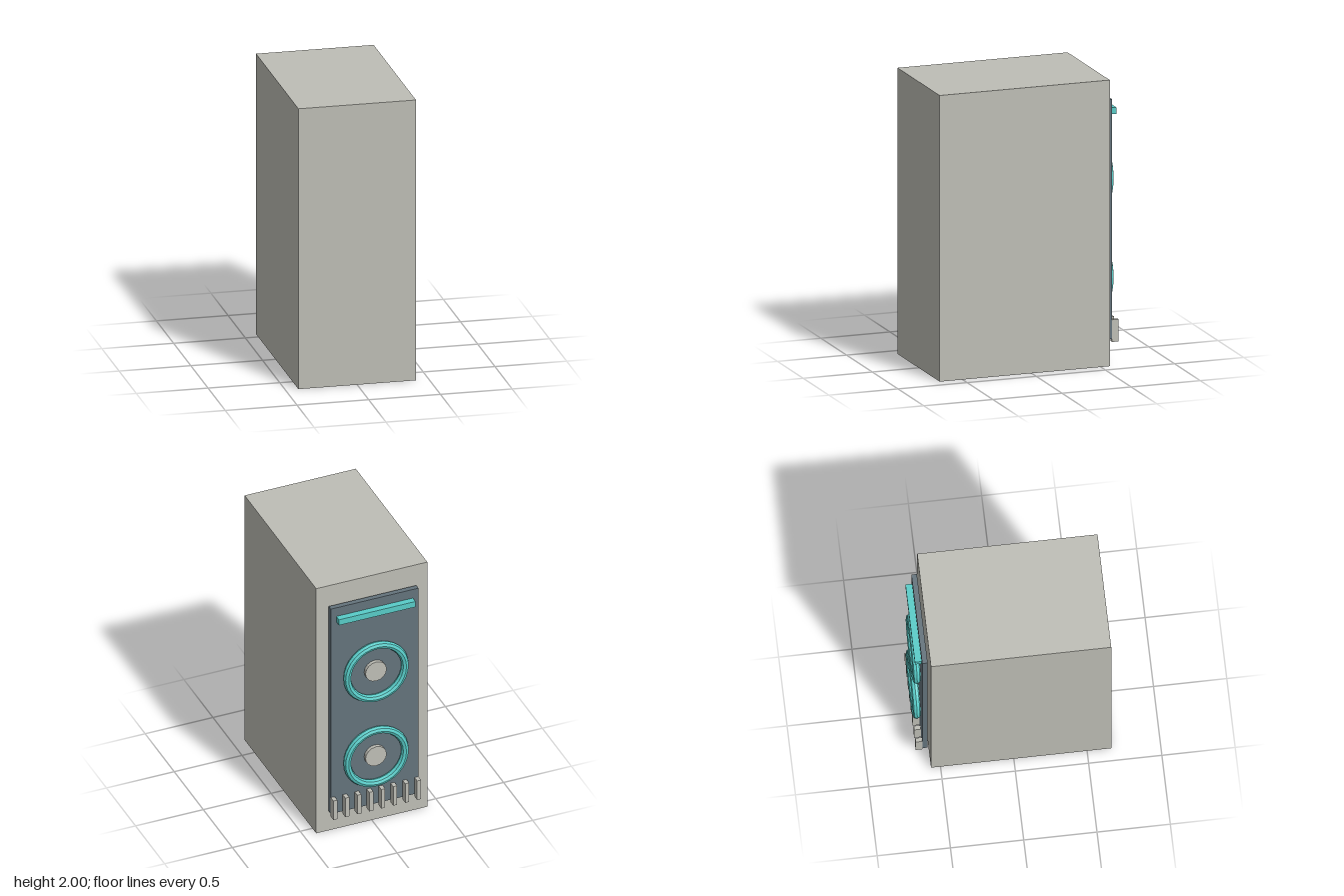
import * as THREE from 'three';

function material(name, color) {
  const m = new THREE.MeshStandardMaterial({ color, flatShading: true });
  m.name = name;
  return m;
}

export function createModel() {
  const model = new THREE.Group();
  model.name = 'cabinet';
  const casing = material('warm grey', 0xbebeb6);
  const slate = material('slate', 0x64737c);
  const teal = material('teal', 0x58ccc8);

  const add = (name, geometry, mat, x, y, z) => {
    const mesh = new THREE.Mesh(geometry, mat);
    mesh.name = name;
    mesh.position.set(x, y, z);
    model.add(mesh);
    return mesh;
  };

  // Cabinet body and the plate floating just behind it
  add('body', new THREE.BoxGeometry(0.82, 2, 1.23), casing, 0, 1, 0.05);
  add('backPanel', new THREE.BoxGeometry(0.646, 1.675, 0.037), slate, 0, 1.003, -0.596);

  // Light bar near the top of the panel
  add('lightBar', new THREE.BoxGeometry(0.564, 0.045, 0.046), teal, 0, 1.748, -0.637);

  // Two fans: a ring with a hub in the middle
  for (const y of [1.26, 0.567]) {
    add('fanRing', new THREE.TorusGeometry(0.213, 0.027, 8, 32), teal, 0, y, -0.639);
    const hub = new THREE.CylinderGeometry(0.078, 0.078, 0.026, 16).rotateX(Math.PI / 2);
    add('fanHub', hub, casing, 0, y, -0.627);
  }

  // Row of connector fins along the bottom edge
  const fin = new THREE.BoxGeometry(0.029, 0.155, 0.046);
  for (let i = 0; i < 8; i++) {
    add('fin', fin, casing, -0.309 + i * 0.0883, 0.222, -0.637);
  }
  return model;
}
